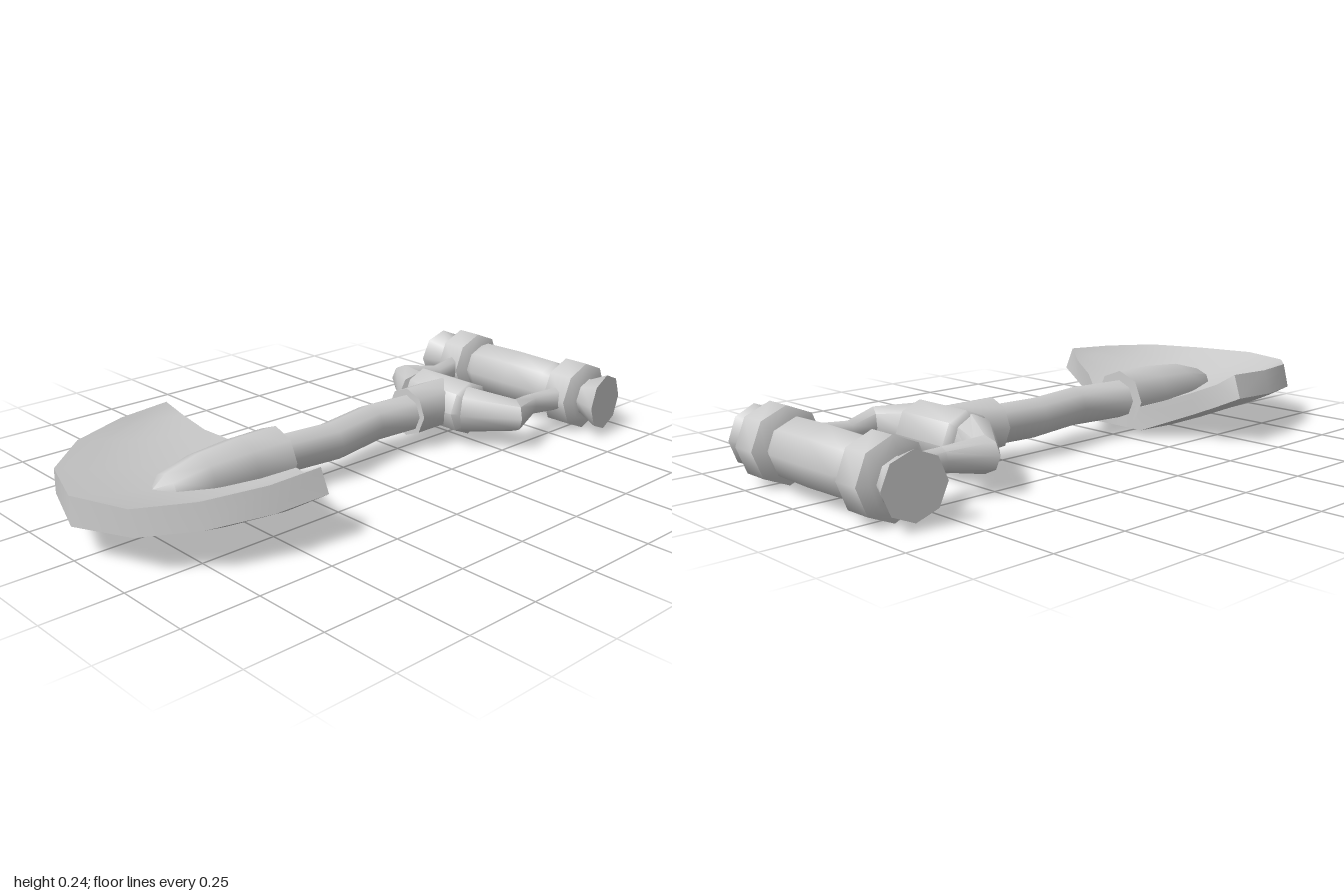
import * as THREE from 'three';
import { toCreasedNormals } from 'three/addons/utils/BufferGeometryUtils.js';

const material = new THREE.MeshStandardMaterial({ color: 0xcccccc });
const AXIS_Y = 0.118;

// Builds a creased mesh from a list of quads (each four corner vectors)
function quadMesh(name, quads) {
  const pos = [];
  for (const [a, b, c, d] of quads) {
    for (const tri of [[a, b, c], [a, c, d]]) {
      const [p, q, r] = tri;
      if (p.distanceTo(q) < 1e-5 || q.distanceTo(r) < 1e-5 || r.distanceTo(p) < 1e-5) continue;
      for (const v of tri) pos.push(v.x, v.y, v.z);
    }
  }
  const geo = new THREE.BufferGeometry();
  geo.setAttribute('position', new THREE.Float32BufferAttribute(pos, 3));
  const mesh = new THREE.Mesh(toCreasedNormals(geo, 0.9), material);
  mesh.name = name;
  return mesh;
}

// Eight-sided loft along a level path; each station is [x, y, z, halfWidth, halfHeight, shear]
function loft(name, stations, sides = 8) {
  const up = new THREE.Vector3(0, 1, 0);
  const centres = stations.map(([x, y, z]) => new THREE.Vector3(x, y, z));
  const dir = (i, j) => centres[j].clone().sub(centres[i]).setY(0).normalize();
  const last = stations.length - 1;
  const rings = stations.map(([, , , w, h = w, shear = 0], i) => {
    const t = new THREE.Vector3();
    if (i > 0) t.add(dir(i - 1, i));
    if (i < last) t.add(dir(i, i + 1));
    t.normalize();
    const side = new THREE.Vector3(t.z, 0, -t.x);
    return Array.from({ length: sides }, (_, k) => {
      const a = (k / sides) * Math.PI * 2;
      return centres[i].clone()
        .addScaledVector(side, Math.cos(a) * w)
        .addScaledVector(up, Math.sin(a) * h)
        .addScaledVector(t, Math.cos(a) * w * shear);
    });
  });
  const quads = [];
  for (let k = 0; k < sides; k++) {
    const n = (k + 1) % sides;
    for (let i = 0; i < last; i++) quads.push([rings[i][k], rings[i][n], rings[i + 1][n], rings[i + 1][k]]);
    quads.push([centres[0], rings[0][n], rings[0][k], centres[0]]);
    quads.push([centres[last], rings[last][k], rings[last][n], centres[last]]);
  }
  return quadMesh(name, quads);
}

// Round part along x: profile is a list of [x, radius, shear]
const barX = (name, z, profile) =>
  loft(name, profile.map(([x, r, shear]) => [x, AXIS_Y, z, r, r, shear]));

// Scooped blade: columns run from the rear edge to the front rim
function buildBlade() {
  // per column, from centre out: [x, z, yTop, yBottom]
  const rear = [[0, 0.28, 0.1, 0.025], [0.1, 0.28, 0.105, 0.025], [0.24, 0.375, 0.16, 0.085],
    [0.32, 0.4, 0.195, 0.12]];
  const rimTop = [[0, 1, 0.195], [0.19, 0.935, 0.198], [0.305, 0.79, 0.213], [0.362, 0.6, 0.223], [0.372, 0.425, 0.231]];
  const rimLow = [[0, 1, 0.103], [0.2, 0.93, 0.117], [0.325, 0.79, 0.137], [0.387, 0.6, 0.148], [0.4, 0.42, 0.157]];
  const steps = 5;
  const point = (col, j, low) => {
    const c = Math.abs(col), t = j / steps;
    const [rx, rz, ry] = (low ? rimLow : rimTop)[c];
    const b = rear[c];
    const [bx, bz, by] = b ? [b[0], b[1], low ? b[3] : b[2]] : [rx, rz, ry];
    return new THREE.Vector3(
      Math.sign(col) * THREE.MathUtils.lerp(bx, rx, t),
      THREE.MathUtils.lerp(by, ry, Math.pow(t, 2.2)),
      THREE.MathUtils.lerp(bz, rz, t));
  };
  const quads = [];
  for (let c = -4; c < 4; c++) {
    for (let j = 0; j < steps; j++) {
      quads.push([point(c, j), point(c, j + 1), point(c + 1, j + 1), point(c + 1, j)]);
      quads.push([point(c, j, true), point(c + 1, j, true), point(c + 1, j + 1, true), point(c, j + 1, true)]);
    }
    // front rim and rear edge
    quads.push([point(c, steps, true), point(c + 1, steps, true), point(c + 1, steps), point(c, steps)]);
    quads.push([point(c, 0, true), point(c, 0), point(c + 1, 0), point(c + 1, 0, true)]);
  }
  return quadMesh('blade', quads);
}

export function createModel() {
  const model = new THREE.Group();
  model.name = 'shovel';

  // Blade and the tapering socket on it
  model.add(buildBlade());
  model.add(loft('bladeSocket', [
    [0, 0.12, 0.28, 0.1, 0.094], [0, 0.12, 0.42, 0.096, 0.094], [0, 0.12, 0.57, 0.082, 0.083],
    [0, 0.115, 0.69, 0.06, 0.056], [0, 0.11, 0.735, 0.015, 0.025],
  ]));

  // Bent shaft
  model.add(loft('shaft', [
    [0, AXIS_Y, -0.32, 0.064], [-0.013, AXIS_Y, -0.13, 0.064],
    [0.025, AXIS_Y, 0.08, 0.064], [0, AXIS_Y, 0.3, 0.064],
  ]));

  // Upper socket and crosspiece
  model.add(loft('shaftSocket', [[0, 0.122, -0.48, 0.083], [0, 0.122, -0.29, 0.083]]));
  model.add(barX('crosspiece', -0.482,
    [[-0.127, 0.072], [-0.11, 0.092], [0.11, 0.092], [0.127, 0.072]]));

  // Grip
  const gripZ = -0.88;
  model.add(barX('grip', gripZ, [[-0.2, 0.072], [-0.155, 0.094], [0, 0.097], [0.155, 0.094], [0.2, 0.072]]));

  for (const s of [1, -1]) {
    const prefix = s > 0 ? 'left' : 'right';
    const mirror = (profile) => profile.map(([x, ...rest]) => [s * x, ...rest]);
    // Collar and flared, slanted end
    model.add(barX(prefix + 'Collar', gripZ, mirror([[0.187, 0.085], [0.207, 0.118], [0.295, 0.118], [0.312, 0.085]])));
    model.add(barX(prefix + 'GripEnd', gripZ, mirror([[0.3, 0.064], [0.32, 0.067], [0.385, 0.097, -s * s * 0.14 * s]])));
    // Bent fork arm
    model.add(loft(prefix + 'ForkArm', mirror([
      [0.247, AXIS_Y, -0.79, 0.032, 0.042], [0.222, AXIS_Y, -0.665, 0.032, 0.037],
      [0.262, AXIS_Y, -0.545, 0.049, 0.056], [0.11, AXIS_Y, -0.468, 0.078, 0.082],
    ])));
  }
  return model;
}
